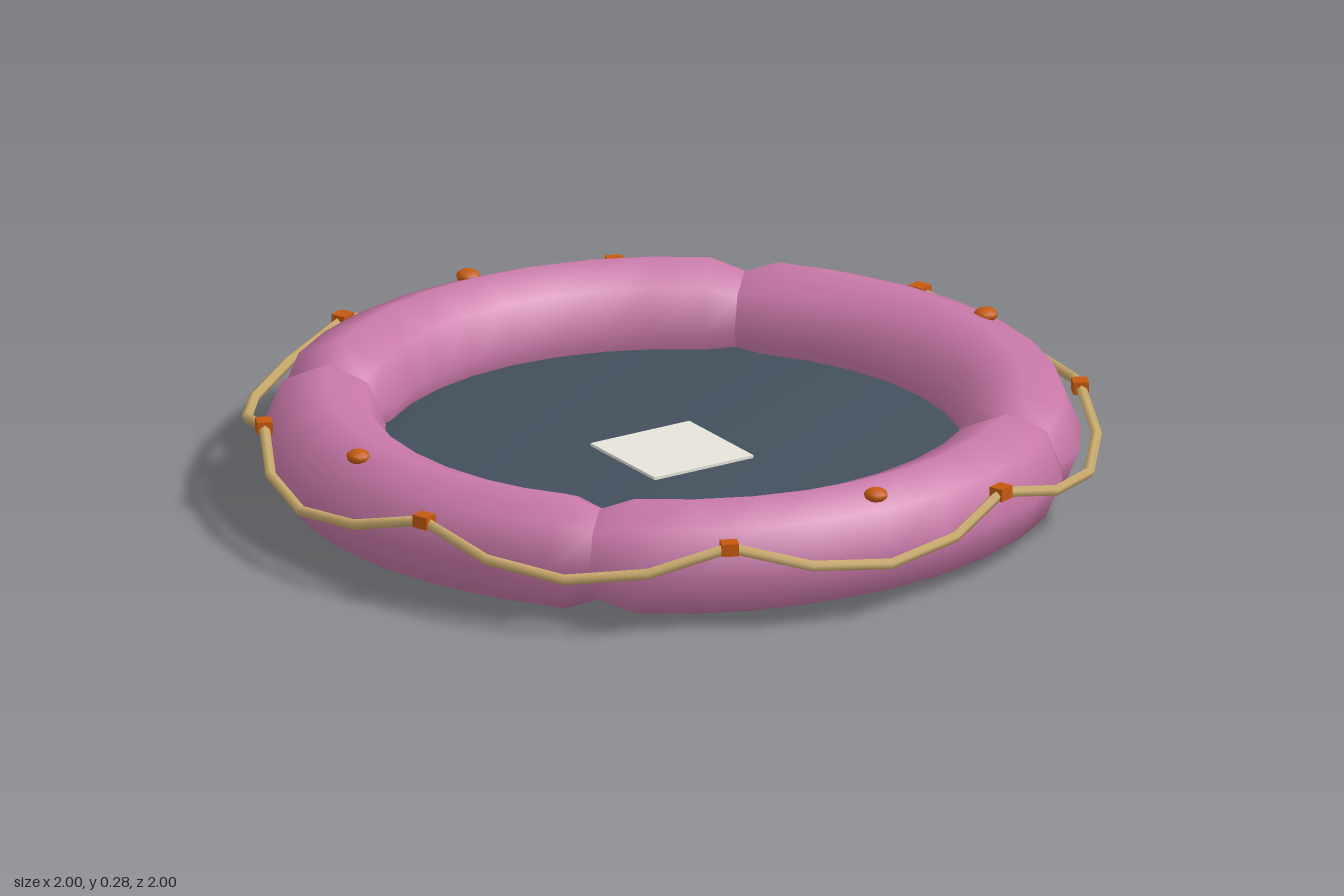
import * as THREE from 'three';
import { mergeVertices } from 'three/addons/utils/BufferGeometryUtils.js';

const RING = 0.8, TUBE = 0.14;

function material(name, color) {
  const m = new THREE.MeshStandardMaterial({ color });
  m.name = name;
  return m;
}

// Weld a geometry and give it soft normals across every edge
function soften(geometry) {
  geometry.deleteAttribute('uv');
  geometry.deleteAttribute('normal');
  const welded = mergeVertices(geometry, 1e-4);
  welded.computeVertexNormals();
  return welded;
}

// Quarter of the inflated ring: eight-sided, pinched at both end seams
function chamberGeometry() {
  const sides = 8, steps = 10, pinch = THREE.MathUtils.degToRad(5.8);
  const g = new THREE.TorusGeometry(RING, TUBE, sides, steps, Math.PI / 2);
  const p = g.attributes.position;
  for (let j = 0; j <= sides; j++) {
    const v = j / sides * Math.PI * 2;
    for (let i = 0; i <= steps; i++) {
      const end = i === 0 || i === steps;
      const u = i === 0 ? 0 : i === steps ? Math.PI / 2
        : pinch + (i - 1) / (steps - 2) * (Math.PI / 2 - 2 * pinch);
      const radius = end ? 0.11 : TUBE;
      const r = RING + radius * Math.cos(v);
      p.setXYZ(j * (steps + 1) + i, r * Math.cos(u), r * Math.sin(u), radius * Math.sin(v));
    }
  }
  return soften(g.rotateX(Math.PI / 2));
}

// Grab line: eight swags that drop and bulge outward between the clips
const CLIPS = 8, CLIP_START = THREE.MathUtils.degToRad(25), CLIP_R = 0.945, CLIP_Y = 0.212;
class GrabLine extends THREE.Curve {
  getPoint(t, target = new THREE.Vector3()) {
    const swag = Math.abs(Math.sin(t * CLIPS * Math.PI));
    const a = CLIP_START + t * Math.PI * 2, r = CLIP_R + 0.043 * swag;
    return target.set(r * Math.cos(a), CLIP_Y - 0.07 * swag, r * Math.sin(a));
  }
  getPointAt(t, target) { return this.getPoint(t, target); }
  getTangentAt(t, target = new THREE.Vector3()) {
    const d = 0.01;
    return target.copy(this.getPoint(t + d)).sub(this.getPoint(t - d)).normalize();
  }
}

export function createModel() {
  const model = new THREE.Group();
  model.name = 'lifeRaft';
  const pink = material('pink rubber', 0xc878a8);
  const slate = material('slate floor', 0x43505d);
  const orange = material('orange fittings', 0xc4590f);
  const tan = material('tan rope', 0xcbac6e);
  const pale = material('pale patch', 0xe6e3da);

  const add = (name, geometry, mat, x = 0, y = 0, z = 0) => {
    const mesh = new THREE.Mesh(geometry, mat);
    mesh.name = name;
    mesh.position.set(x, y, z);
    model.add(mesh);
    return mesh;
  };

  // Four air chambers, each with a valve on top
  const chamber = chamberGeometry();
  const valve = new THREE.SphereGeometry(0.028, 10, 8).scale(1, 0.6, 1);
  for (let k = 0; k < 4; k++) {
    add('airChamber', chamber, pink, 0, TUBE, 0).rotation.y = k * Math.PI / 2;
    const a = (k + 0.5) * Math.PI / 2;
    add('valve', valve, orange, 0.858 * Math.cos(a), 0.262, 0.858 * Math.sin(a));
  }

  // Floor, its rim buried in the chambers
  add('floor', soften(new THREE.CylinderGeometry(0.74, 0.74, 0.073, 40)), slate, 0, 0.0625, 0);

  // Floor patch and flat direction arrow
  add('floorPatch', new THREE.BoxGeometry(0.27, 0.008, 0.27), pale, 0, 0.102, 0)
    .rotation.y = Math.PI / 4;
  const triangle = new THREE.Shape([
    new THREE.Vector2(-0.075, -0.0625), new THREE.Vector2(0.075, -0.0625), new THREE.Vector2(0, 0.0625),
  ]);
  const arrow = new THREE.ExtrudeGeometry(triangle, { depth: 0.008, bevelEnabled: false });
  add('directionArrow', arrow.rotateX(-Math.PI / 2), orange, 0, 0.098, 0.563);

  // Rope and its clips
  add('grabLine', new THREE.TubeGeometry(new GrabLine(), 32, 0.013, 5, true), tan);
  const clip = new THREE.BoxGeometry(0.036, 0.03, 0.04);
  for (let k = 0; k < CLIPS; k++) {
    const a = CLIP_START + k / CLIPS * Math.PI * 2;
    add('ropeClip', clip, orange, CLIP_R * Math.cos(a), CLIP_Y, CLIP_R * Math.sin(a)).rotation.y = -a;
  }
  return model;
}
